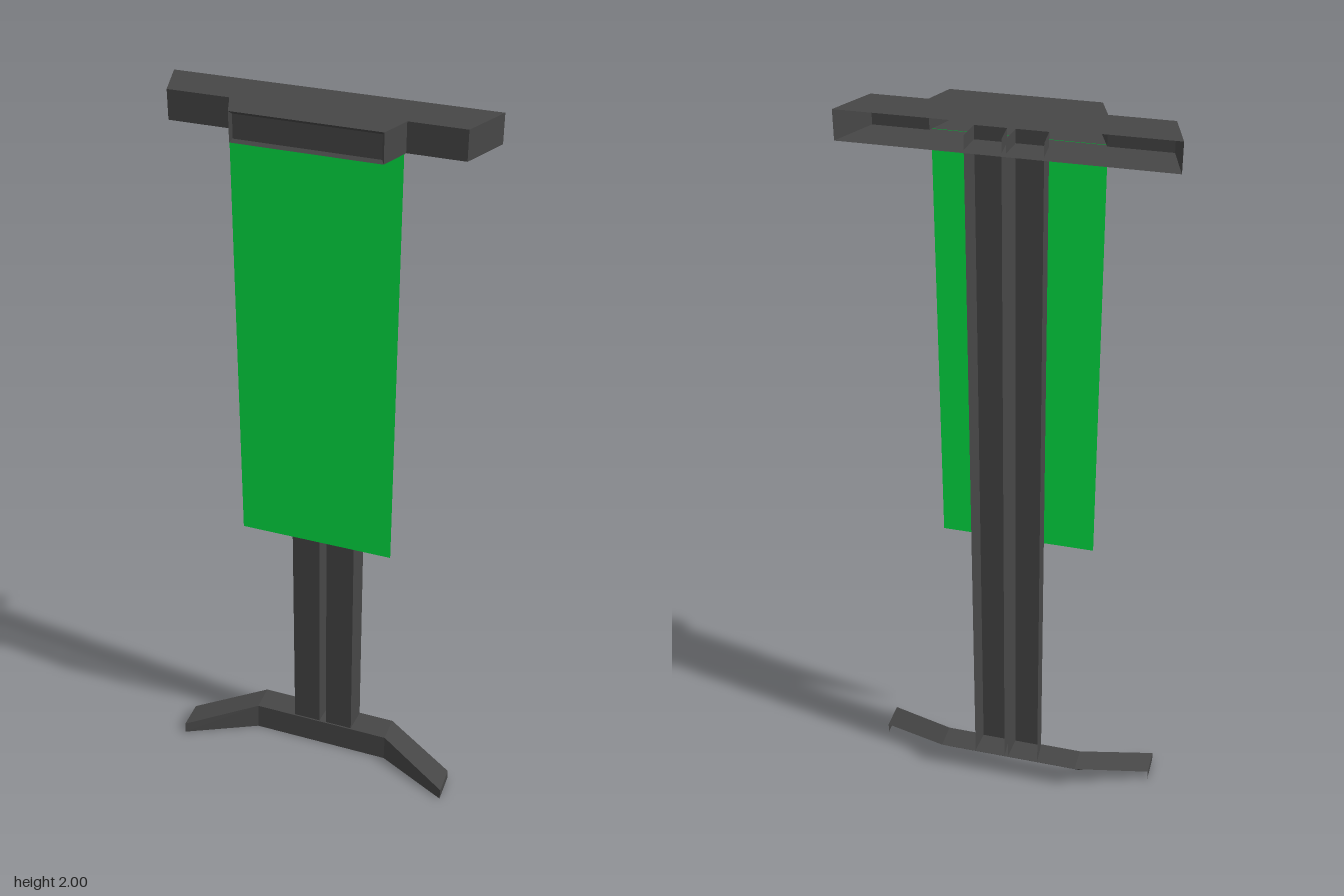
import * as THREE from 'three';

const frameGrey = new THREE.MeshStandardMaterial({ color: 0x474747, side: THREE.DoubleSide });
frameGrey.name = 'frame grey';
const bannerGreen = new THREE.MeshStandardMaterial({ color: 0x00e746, side: THREE.DoubleSide });
bannerGreen.name = 'banner green';

// Flat-faced sheet joining two polylines; a is the lower/front one, both run from -x to +x.
function ribbon(a, b) {
  const pos = [];
  for (let i = 0; i < a.length - 1; i++) {
    pos.push(...a[i], ...a[i + 1], ...b[i + 1], ...a[i], ...b[i + 1], ...b[i]);
  }
  const g = new THREE.BufferGeometry();
  g.setAttribute('position', new THREE.Float32BufferAttribute(pos, 3));
  g.computeVertexNormals();
  return g;
}

// Upright wall along a plan outline of [x, z] points.
const wall = (plan, y0, y1) =>
  ribbon(plan.map(([x, z]) => [x, y0, z]), plan.map(([x, z]) => [x, y1, z]));

// Horizontal plate filling a plan outline, facing up or down.
function plate(plan, y, up) {
  const s = up ? -1 : 1;
  const shape = new THREE.Shape(plan.map(([x, z]) => new THREE.Vector2(x, s * z)));
  return new THREE.ShapeGeometry(shape).rotateX(s * Math.PI / 2).translate(0, y, 0);
}

// Closed rectangular loop of points facing +z.
const loop = (x, y0, y1, z) => [[-x, y0, z], [x, y0, z], [x, y1, z], [-x, y1, z], [-x, y0, z]];

export function createModel() {
  const model = new THREE.Group();
  model.name = 'bannerStand';
  const add = (name, geometry, material, parent = model) => {
    const mesh = new THREE.Mesh(geometry, material);
    mesh.name = name;
    parent.add(mesh);
  };

  // Cap: hollow tray with a stepped front, open at the back
  const cap = new THREE.Group();
  cap.name = 'cap';
  model.add(cap);
  const capRight = [[-0.4, -0.1], [-0.365, 0.02], [-0.21, 0.02], [-0.182, 0.096]];
  const capLeft = [[0.182, 0.096], [0.21, 0.02], [0.35, 0.02], [0.4, -0.1]];
  const capPlan = [...capRight, ...capLeft];
  add('capRightWalls', wall(capRight, 1.926, 2), frameGrey, cap);
  add('capLeftWalls', wall(capLeft, 1.926, 2), frameGrey, cap);
  add('capTop', plate(capPlan, 2, true), frameGrey, cap);
  add('capBottom', plate(capPlan, 1.926, false), frameGrey, cap);

  // Shallow recessed panel on the cap front
  add('capFrontRim', ribbon(loop(0.182, 1.926, 2, 0.096), loop(0.176, 1.933, 1.992, 0.088)), frameGrey, cap);
  add('capFrontPanel', new THREE.PlaneGeometry(0.352, 0.059).translate(0, 1.9625, 0.088), frameGrey, cap);

  // Posts: two slightly tapered channels open at the back, reaching into the cap
  for (const [name, x0, x1] of [['rightPost', -0.088, 0], ['leftPost', 0.01, 0.098]]) {
    const plan = [[x0, -0.081], [x0 + 0.005, -0.012], [x1 - 0.005, -0.012], [x1, -0.081]];
    add(name, wall(plan, 0.078, 1.96), frameGrey);
  }

  // Banner: thin sheet hanging from the cap, clear of the posts
  add('banner', new THREE.PlaneGeometry(0.418, 1.14).translate(-0.001, 1.357, 0.028), bannerGreen);

  // Foot: bent sheet with a skirt along the front and ends, open below and behind
  const foot = new THREE.Group();
  foot.name = 'foot';
  model.add(foot);
  const front = [[-0.4, 0.03, 0.09], [-0.2, 0.08, -0.008], [0.2, 0.08, -0.008], [0.4, 0.03, 0.09]];
  const back = [[-0.4, 0.03, 0.01], [-0.2, 0.08, -0.083], [0.2, 0.08, -0.083], [0.4, 0.03, 0.01]];
  add('footTop', ribbon(front, back), frameGrey, foot);
  const rim = [back[0], ...front, back[3]];
  const hem = rim.map(([x, , z], i) => [x, 0, i > 0 && i < 5 ? z + 0.004 : z]);
  add('footSkirt', ribbon(hem, rim), frameGrey, foot);

  return model;
}
